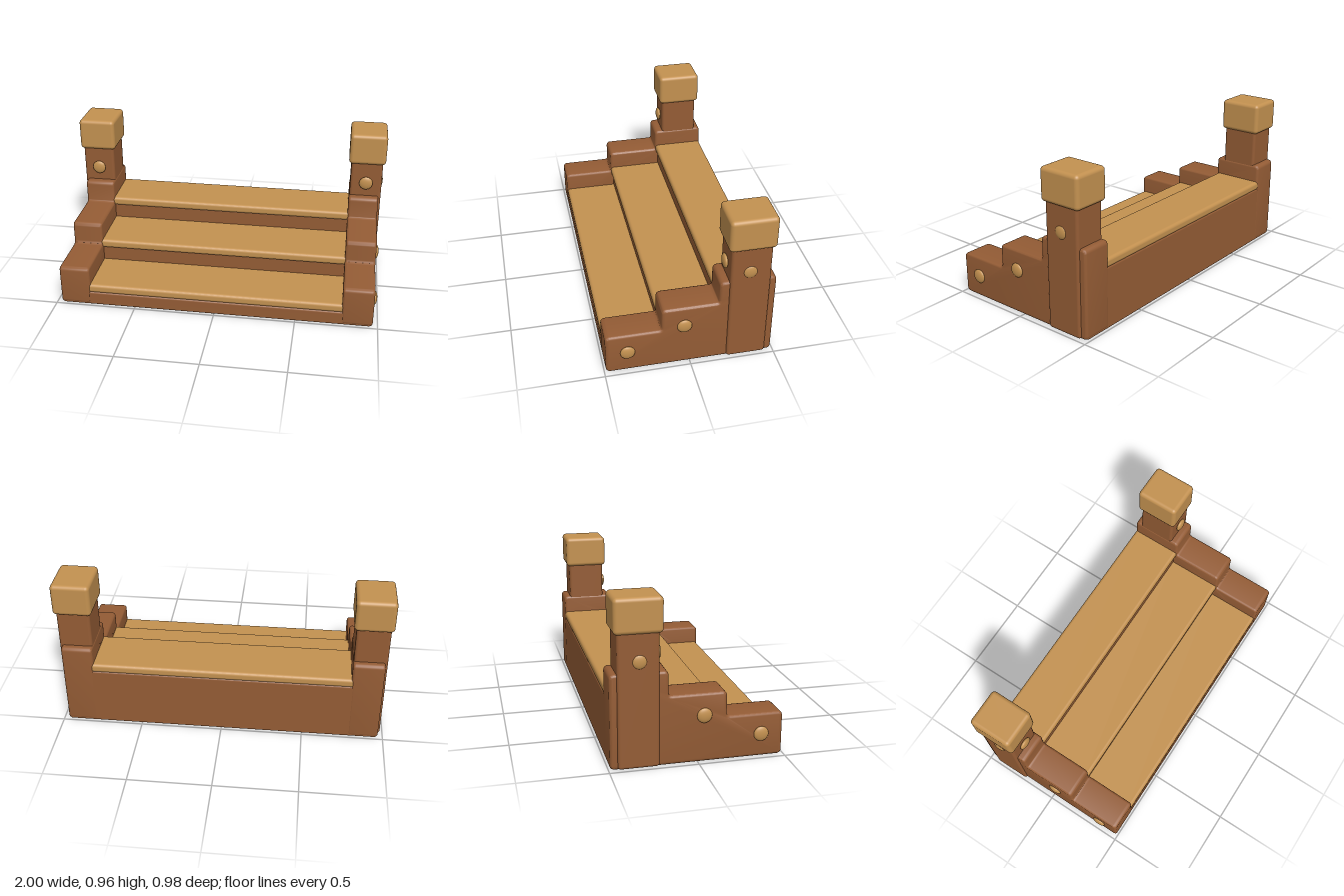
import * as THREE from 'three';
import { toCreasedNormals } from 'three/addons/utils/BufferGeometryUtils.js';
import { RoundedBoxGeometry } from 'three/addons/geometries/RoundedBoxGeometry.js';

const darkWood = new THREE.MeshStandardMaterial({ name: 'darkWood', color: 0x945c35 });
const lightWood = new THREE.MeshStandardMaterial({ name: 'lightWood', color: 0xc39150 });

function add(parent, name, geometry, material) {
  const mesh = new THREE.Mesh(geometry, material);
  mesh.name = name;
  parent.add(mesh);
  return mesh;
}

// Rounded box given by its extents on each axis
function block(parent, name, material, [x0, x1], [y0, y1], [z0, z1], radius) {
  const mesh = add(parent, name, new RoundedBoxGeometry(x1 - x0, y1 - y0, z1 - z0, 4, radius), material);
  mesh.position.set((x0 + x1) / 2, (y0 + y1) / 2, (z0 + z1) / 2);
  return mesh;
}

// Closed shape whose corners [u, v, radius] are rounded off
function roundedShape(corners) {
  const shape = new THREE.Shape();
  const n = corners.length;
  corners.forEach(([u, v, r], i) => {
    const p = new THREE.Vector2(u, v);
    const toward = (c) => new THREE.Vector2(c[0], c[1]).sub(p).setLength(r).add(p);
    const a = toward(corners[(i + n - 1) % n]);
    const b = toward(corners[(i + 1) % n]);
    if (i === 0) shape.moveTo(a.x, a.y);
    else shape.lineTo(a.x, a.y);
    shape.quadraticCurveTo(u, v, b.x, b.y);
  });
  shape.closePath();
  return shape;
}

// Stepped side wall, profile inset by the bevel size
function sideWallGeometry() {
  const b = 0.016, r = 0.01, inner = 0.035;
  const shape = roundedShape([
    [-0.49 + b, b, r], [0.49 - b, b, r],
    [0.49 - b, 0.255 - b, r], [0.165 - b, 0.255 - b, inner],
    [0.165 - b, 0.4 - b, r], [-0.165 - b, 0.4 - b, inner],
    [-0.165 - b, 0.543 - b, r], [-0.49 + b, 0.543 - b, r],
  ]);
  const geometry = new THREE.ExtrudeGeometry(shape, {
    depth: 0.19 - 2 * b, bevelEnabled: true, bevelSize: b, bevelThickness: b,
    bevelSegments: 4, curveSegments: 5,
  });
  geometry.rotateY(-Math.PI / 2);
  geometry.translate(0.97 - b, 0, 0);
  return toCreasedNormals(geometry, 0.7);
}

export function createModel() {
  const model = new THREE.Group();
  model.name = 'steps';

  // Steps: dark solid body with a light tread on top
  const steps = [
    { top: 0.14, body: [0.13, 0.488], tread: [0.12, 0.486] },
    { top: 0.285, body: [-0.2, 0.148], tread: [-0.21, 0.163] },
    { top: 0.432, body: [-0.489, -0.183], tread: [-0.49, -0.168] },
  ];
  steps.forEach(({ top, body, tread }, i) => {
    block(model, `stepBody${i + 1}`, darkWood, [-0.96, 0.96], [0.001, top - 0.05], body, 0.012);
    block(model, `tread${i + 1}`, lightWood, [-0.8, 0.8], [top - 0.057, top], tread, 0.02);
  });

  const wallGeometry = sideWallGeometry();
  const pegGeometry = new THREE.SphereGeometry(1, 24, 16);

  for (const side of [1, -1]) {
    const group = new THREE.Group();
    group.name = side > 0 ? 'leftSide' : 'rightSide';
    model.add(group);

    // The wall is mirrored by a half turn of its symmetric thickness
    const wall = add(group, 'sideWall', wallGeometry, darkWood);
    wall.position.x = side > 0 ? 0 : -2 * 0.875;

    // Post and cap
    const span = (a, b) => (side > 0 ? [a, b] : [-b, -a]);
    block(group, 'post', darkWood, span(0.783, 0.984), [0.002, 0.78], [-0.45, -0.217], 0.018);
    block(group, 'postCap', lightWood, span(0.767, 1), [0.763, 0.962], [-0.469, -0.198], 0.024);

    // Domed pegs on the outer side and the post front
    const pegs = [
      ['lowerPeg', [0.973, 0.135, 0.364], [0.016, 0.043, 0.043]],
      ['middlePeg', [0.973, 0.274, 0.035], [0.016, 0.043, 0.043]],
      ['postSidePeg', [0.98, 0.61, -0.328], [0.014, 0.04, 0.04]],
      ['postFrontPeg', [0.883, 0.634, -0.207], [0.043, 0.043, 0.016]],
    ];
    for (const [name, [x, y, z], scale] of pegs) {
      const peg = add(group, name, pegGeometry, lightWood);
      peg.position.set(side * x, y, z);
      peg.scale.set(...scale);
    }
  }
  return model;
}
